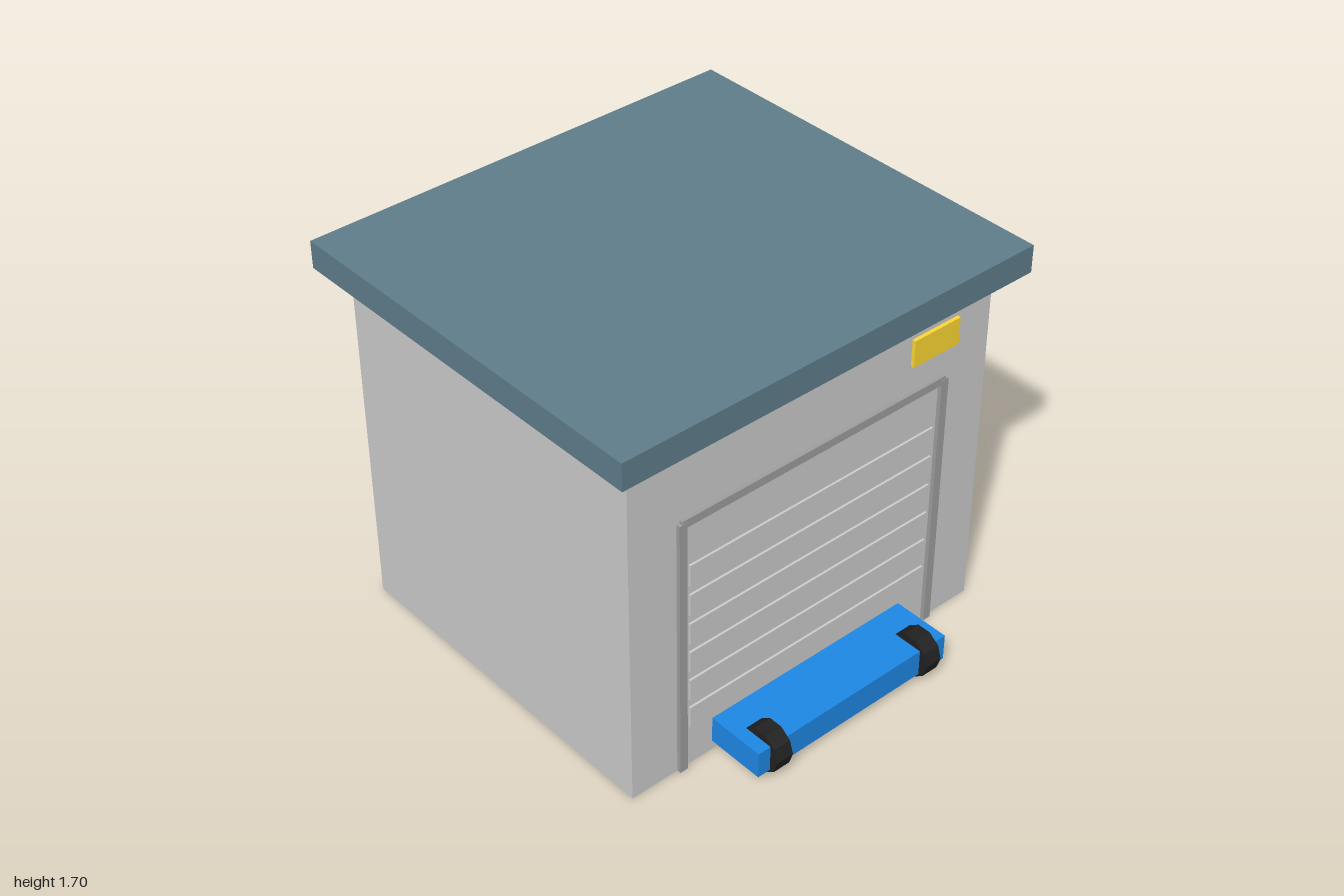
import * as THREE from 'three';

const material = (color) => new THREE.MeshStandardMaterial({ color, flatShading: true });

export function createModel() {
  const model = new THREE.Group();
  model.name = 'garage';
  const wall = material(0xcccccc);
  const trim = material(0x9e9e9e);
  const slate = material(0x607d8b);
  const yellow = material(0xfdd835);
  const blue = material(0x1e88e5);
  const black = material(0x212121);

  // Box given by its limits on each axis
  function box(name, mat, [x0, x1], [y0, y1], [z0, z1], parent = model) {
    const mesh = new THREE.Mesh(new THREE.BoxGeometry(x1 - x0, y1 - y0, z1 - z0), mat);
    mesh.position.set((x0 + x1) / 2, (y0 + y1) / 2, (z0 + z1) / 2);
    mesh.name = name;
    parent.add(mesh);
    return mesh;
  }

  // Building
  box('walls', wall, [-0.9, 0.9], [0, 1.58], [-0.9, 0.7]);
  box('roof', slate, [-1, 1], [1.58, 1.7], [-1, 0.8]);
  box('signPlate', yellow, [0.48, 0.72], [1.34, 1.46], [0.69, 0.716]);

  // Door frame
  const door = new THREE.Group();
  door.name = 'garageDoor';
  model.add(door);
  box('rightDoorPost', trim, [-0.677, -0.64], [0, 1.205], [0.69, 0.718], door);
  box('leftDoorPost', trim, [0.64, 0.677], [0, 1.205], [0.69, 0.718], door);
  box('doorLintel', trim, [-0.663, 0.663], [1.182, 1.218], [0.69, 0.716], door);

  // Raised door slats
  for (let i = 0; i < 6; i++) {
    const y = 0.195 + i * 0.139;
    box('doorSlat', wall, [-0.62, 0.62], [y, y + 0.1], [0.69, 0.71], door);
  }

  // Low blue cart in front of the door, with ten-sided wheels
  const cart = new THREE.Group();
  cart.name = 'cart';
  model.add(cart);
  box('cartBody', blue, [-0.5, 0.5], [0.042, 0.162], [0.7, 0.96], cart);
  const wheelGeometry = new THREE.CylinderGeometry(0.098, 0.098, 0.08, 10).rotateZ(Math.PI / 2);
  for (const side of [-1, 1]) {
    const wheel = new THREE.Mesh(wheelGeometry, black);
    wheel.position.set(side * 0.4, 0.103, 0.902);
    wheel.name = side > 0 ? 'leftWheel' : 'rightWheel';
    cart.add(wheel);
  }

  return model;
}
